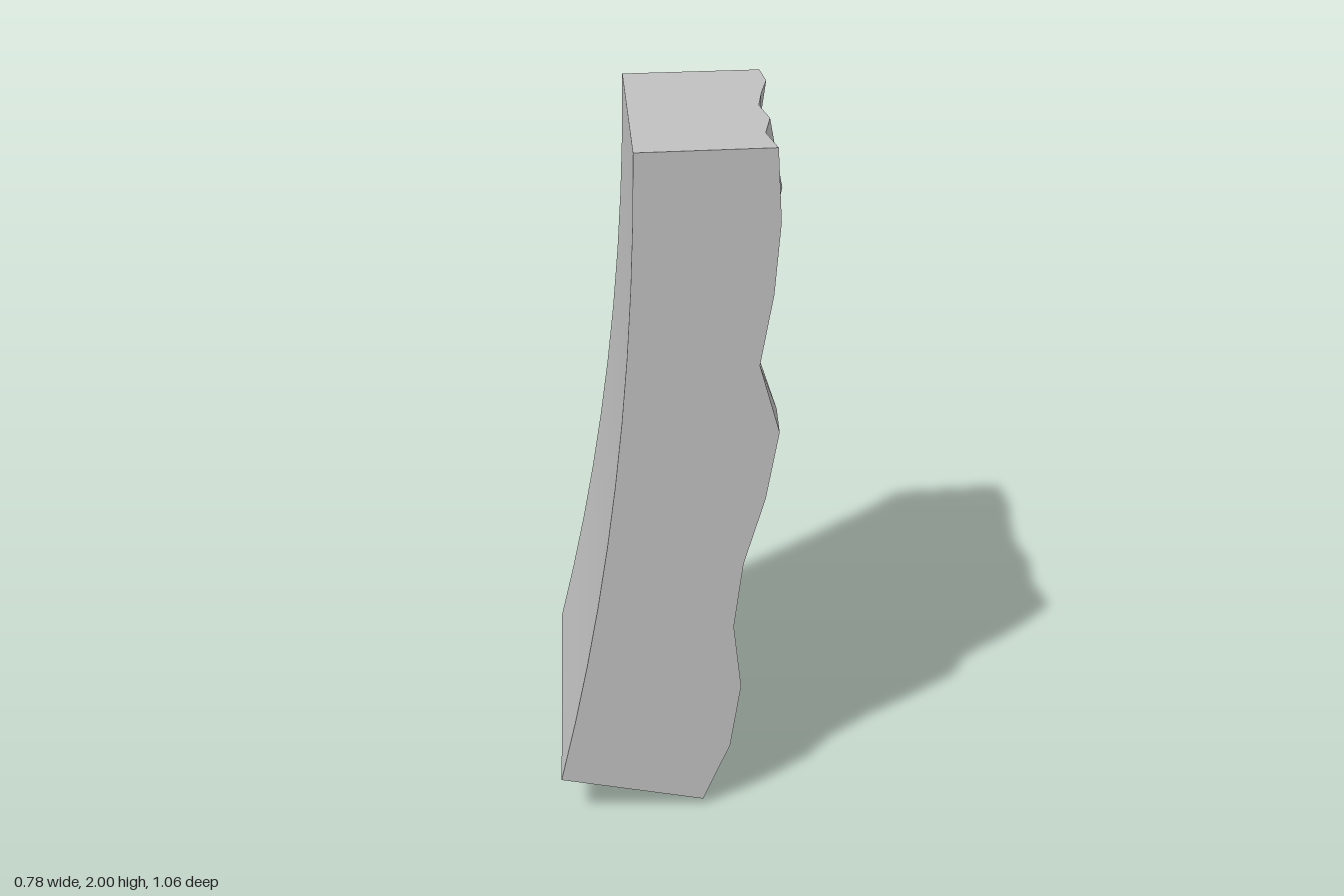
import * as THREE from 'three';

const ROWS = 10, COLS = 6, HALF = 0.53;

// Outward x of the rough face: rows from bottom to top, columns from front to back
const ROUGH = [
  [0.035, 0.07, 0.02, 0.04, 0.055, 0.07, 0.085],
  [0.115, 0.11, 0.10, 0.10, 0.115, 0.12, 0.125],
  [0.145, 0.15, 0.13, 0.13, 0.15, 0.165, 0.165],
  [0.12, 0.145, 0.13, 0.20, 0.235, 0.21, 0.203],
  [0.145, 0.15, 0.16, 0.215, 0.235, 0.255, 0.285],
  [0.205, 0.20, 0.22, 0.225, 0.265, 0.315, 0.364],
  [0.24, 0.27, 0.26, 0.26, 0.27, 0.325, 0.379],
  [0.18, 0.20, 0.25, 0.24, 0.28, 0.31, 0.36],
  [0.215, 0.24, 0.265, 0.265, 0.295, 0.32, 0.341],
  [0.23, 0.235, 0.31, 0.275, 0.31, 0.345, 0.37],
  [0.217, 0.22, 0.27, 0.275, 0.32, 0.372, 0.387],
];
const FOOT = [0.02, 0.012, 0.026, 0.022, 0.015, 0.009, 0];

const zAt = (j) => HALF - (2 * HALF * j) / COLS;

// Point on the rough side
const outer = (i, j) => new THREE.Vector3(ROUGH[i][j], i ? i * 0.2 : FOOT[j], zAt(j));

// Point on the smooth side: a large arc, upright at the top
const inner = (i, j) => {
  const t = j / COLS;
  const bottom = 0.13 - 0.025 * t;
  const y = bottom + ((2 - bottom) * i) / ROWS;
  const radius = 7.88;
  const sweep = radius - Math.sqrt(radius * radius - (2 - y) ** 2);
  return new THREE.Vector3(-0.165 + 0.115 * t - sweep, y, zAt(j));
};

// Grid surface; seen from outside, i runs upward and j runs to the right
function patch(name, rows, cols, pointAt, material) {
  const positions = [], indices = [];
  for (let i = 0; i <= rows; i++) {
    for (let j = 0; j <= cols; j++) positions.push(...pointAt(i, j).toArray());
  }
  for (let i = 0; i < rows; i++) {
    for (let j = 0; j < cols; j++) {
      const a = i * (cols + 1) + j, c = a + cols + 1;
      indices.push(a, a + 1, c, a + 1, c + 1, c);
    }
  }
  const geometry = new THREE.BufferGeometry();
  geometry.setAttribute('position', new THREE.Float32BufferAttribute(positions, 3));
  geometry.setIndex(indices);
  geometry.computeVertexNormals();
  const mesh = new THREE.Mesh(geometry, material);
  mesh.name = name;
  return mesh;
}

export function createModel() {
  const stone = new THREE.MeshStandardMaterial({ color: 0xc0c0c0 });
  stone.name = 'stone grey';

  const slab = new THREE.Group();
  slab.name = 'rockSlab';
  slab.add(
    patch('roughFace', ROWS, COLS, outer, stone),
    patch('smoothFace', ROWS, COLS, (i, j) => inner(i, COLS - j), stone),
    // Cut faces around the slab
    patch('frontFace', ROWS, 1, (i, j) => (j ? outer : inner)(i, 0), stone),
    patch('backFace', ROWS, 1, (i, j) => (j ? inner : outer)(i, COLS), stone),
    patch('topFace', COLS, 1, (i, j) => (j ? outer : inner)(ROWS, i), stone),
    patch('bottomFace', COLS, 1, (i, j) => (j ? outer : inner)(0, COLS - i), stone),
  );
  return slab;
}
